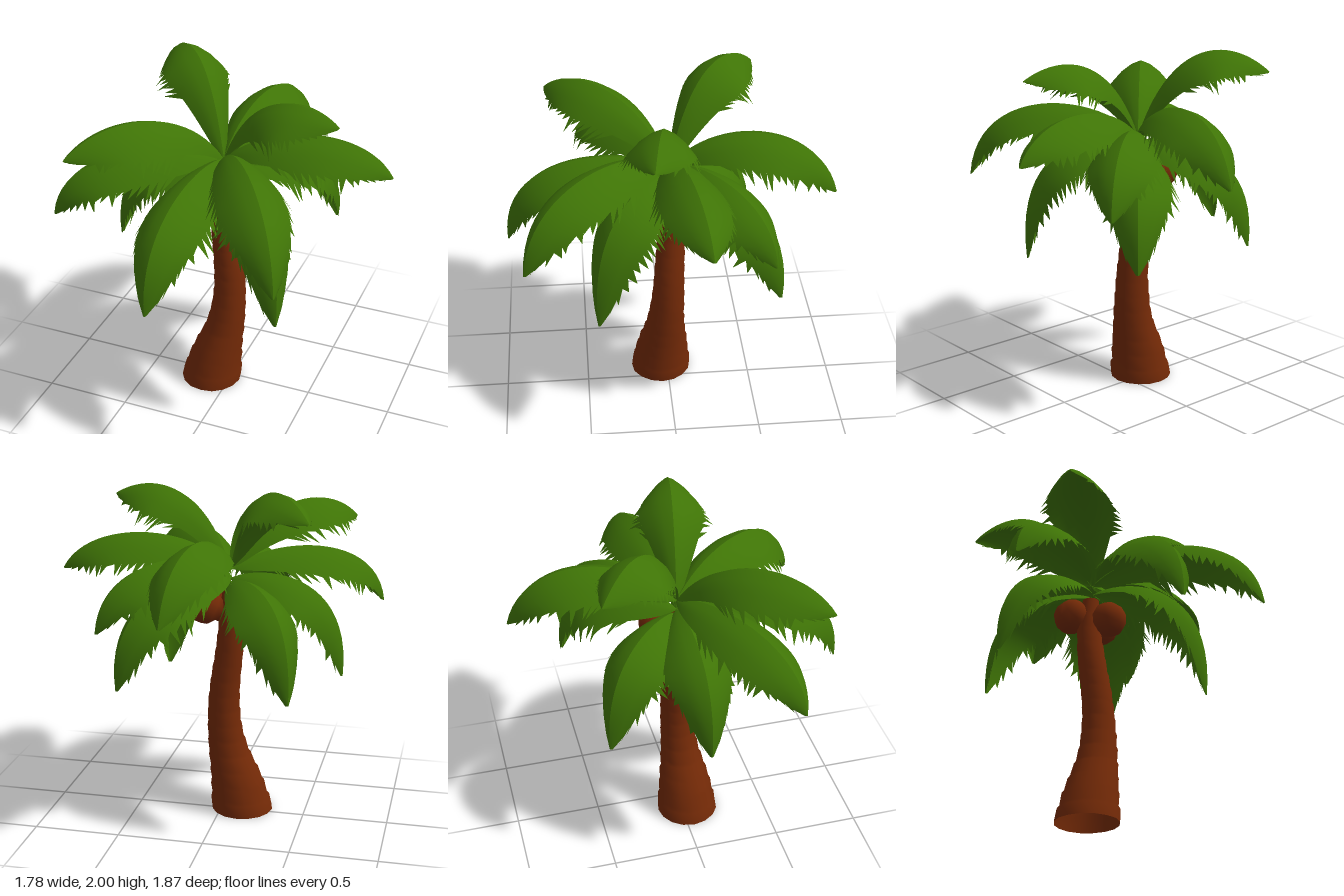
import * as THREE from 'three';

const leafGreen = new THREE.MeshStandardMaterial({ color: 0x3f7406, side: THREE.DoubleSide });
leafGreen.name = 'leafGreen';
const barkBrown = new THREE.MeshStandardMaterial({ color: 0x742a07, side: THREE.DoubleSide });
barkBrown.name = 'barkBrown';

let seed = 7;
const rnd = () => (seed = (seed * 16807) % 2147483647) / 2147483647;

function meshGeometry(points, index) {
  const g = new THREE.BufferGeometry();
  g.setAttribute('position', new THREE.Float32BufferAttribute(points.flatMap(p => p.toArray()), 3));
  g.setIndex(index);
  g.computeVertexNormals();
  return g;
}

// Leaning hollow trunk: stacked bark collars, each flaring slightly towards its top
function trunkGeometry() {
  // height, centre x, centre z, radius
  const profile = [
    [0, -0.122, 0.04, 0.182], [0.2, -0.088, 0.03, 0.152], [0.4, -0.038, 0.015, 0.115],
    [0.6, -0.017, 0, 0.097], [0.8, -0.025, -0.01, 0.088], [1.0, -0.051, -0.02, 0.081],
    [1.2, -0.065, -0.03, 0.07], [1.42, -0.06, -0.02, 0.045],
  ];
  const centre = new THREE.CatmullRomCurve3(profile.map(([y, x, z]) => new THREE.Vector3(x, y, z)));
  const radius = new THREE.CatmullRomCurve3(profile.map(([y, , , r]) => new THREE.Vector3(r, y, 0)));
  const sides = 16, collars = 15, points = [], index = [];
  const ring = (t, scale) => {
    const c = centre.getPoint(t), r = radius.getPoint(t).x * scale;
    for (let j = 0; j < sides; j++) {
      const a = (j / sides) * Math.PI * 2;
      const rr = r * (1 + 0.02 * (rnd() - 0.5));
      points.push(new THREE.Vector3(c.x + Math.sin(a) * rr, c.y, c.z + Math.cos(a) * rr));
    }
  };
  for (let i = 0; i < collars; i++) {
    ring(i / collars, i ? 0.98 : 1);
    ring((i + 0.8) / collars, 1.03);
  }
  for (let i = 0; i < collars * 2 - 1; i++) {
    for (let j = 0; j < sides; j++) {
      const k = (j + 1) % sides;
      const a = i * sides + j, b = i * sides + k, c = a + sides, d = b + sides;
      index.push(a, b, c, b, d, c);
    }
  }
  return meshGeometry(points, index);
}

// Arched palm leaf: ridge curve, two drooping halves, ragged teeth along the rim
function frondGeometry(tx, ty, tz, apex) {
  const root = new THREE.Vector3(-0.055, Math.min(1.5, apex - 0.04), -0.01);
  const tip = new THREE.Vector3(tx, ty, tz);
  // control height that makes the arch just touch the apex
  let lift = Infinity;
  for (let t = 0.05; t < 0.96; t += 0.025) {
    lift = Math.min(lift, (apex - root.y * (1 - t) ** 3 - ty * t ** 3) / (3 * t * (1 - t)));
  }
  const rise = root.clone().lerp(tip, 0.25).setY(lift);
  const fall = root.clone().lerp(tip, 0.88 + 0.37 * (1.4 - ty)).setY(lift); // low fronds hang steeply
  const ridge = new THREE.CubicBezierCurve3(root, rise, fall, tip);
  const across = new THREE.Vector3(tz - root.z, 0, root.x - tx).normalize();

  const surface = (t, u, side) => {
    t = Math.min(t, 1);
    const normal = ridge.getTangent(t).cross(across).normalize();
    const w = 0.01 + 0.2 * Math.pow(Math.max(0, Math.sin(Math.PI * Math.pow(t, 1.12))), 0.68);
    return ridge.getPoint(t)
      .addScaledVector(across, side * w * u * 0.87)
      .addScaledVector(normal, -w * (0.18 * u + 0.48 * u * u));
  };

  const rows = 22, cols = 3, points = [], index = [];
  for (const side of [1, -1]) {
    const start = points.length;
    const tri = (a, b, c) => (side > 0 ? index.push(a, b, c) : index.push(a, c, b));
    for (let i = 0; i <= rows; i++) {
      for (let j = 0; j <= cols; j++) points.push(surface(i / rows, j / cols, side));
    }
    for (let i = 0; i < rows; i++) {
      for (let j = 0; j < cols; j++) {
        const a = start + i * (cols + 1) + j, b = a + cols + 1;
        tri(a, b, a + 1);
        tri(b, b + 1, a + 1);
      }
      if (i < 6) continue;
      const e = start + i * (cols + 1) + cols;
      const tooth = points.push(surface((i + 1.3 + 0.7 * rnd()) / rows, 1.06 + 0.3 * rnd(), side)) - 1;
      tri(e, e + cols + 1, tooth);
    }
  }
  return meshGeometry(points, index);
}

export function createModel() {
  const model = new THREE.Group();
  model.name = 'palmTree';
  const add = (name, geometry, material) => {
    const mesh = new THREE.Mesh(geometry, material);
    mesh.name = name;
    model.add(mesh);
    return mesh;
  };

  add('trunk', trunkGeometry(), barkBrown);

  // Coconuts hanging under the crown
  [[0.005, 1.26, 0.07], [0.07, 1.295, -0.1], [-0.15, 1.3, -0.09]].forEach((p, i) => {
    const nut = add('coconut' + (i + 1), new THREE.SphereGeometry(0.106, 8, 6), barkBrown);
    nut.position.set(...p);
    nut.rotation.set(0.4 * i, i, 0.3);
  });

  // Fronds: tip x, y, z and height of the arch
  const fronds = [
    // upper layer
    [-0.58, 1.88, -0.53, 2.0], [0.65, 1.88, 0.12, 1.95], [-0.69, 1.7, 0.68, 1.84],
    // middle layer
    [0.12, 1.39, -0.94, 1.74], [0.89, 1.49, -0.16, 1.7], [0.55, 1.22, 0.82, 1.67],
    [-0.89, 1.23, 0.48, 1.6], [-0.13, 1.01, 0.93, 1.56], [0.59, 1.22, -0.54, 1.59],
    // lower layer
    [0.43, 0.76, 0.43, 1.48], [-0.71, 0.89, 0.02, 1.48],
    [-0.48, 0.87, -0.5, 1.46], [0.46, 0.92, -0.6, 1.48],
  ];
  fronds.forEach((f, i) => add('frond' + (i + 1), frondGeometry(...f), leafGreen));

  return model;
}
